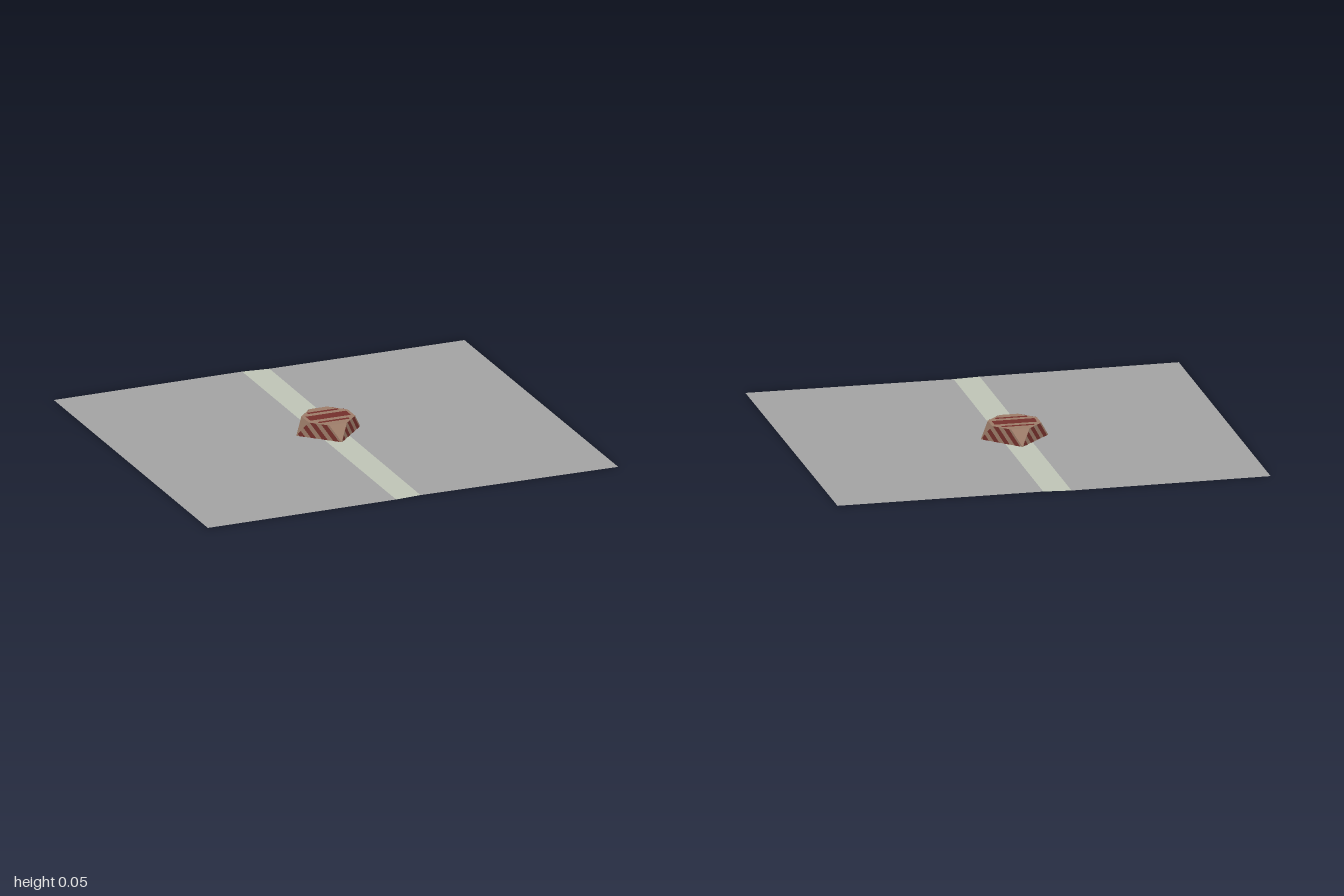
import * as THREE from 'three';

const H = 0.054;      // block height
const R = 0.0825;     // half width of the block
const C = 0.045;      // corner cut at the top
const LIFT = 0.0008;  // paint offset

const paint = (color) => new THREE.MeshStandardMaterial({ color, side: THREE.DoubleSide, flatShading: true });

// Flat convex polygons, each a loop of [x, y, z] corners seen counter-clockwise from outside
function polygons(name, loops, material) {
  const pos = [];
  for (const p of loops)
    for (let i = 1; i < p.length - 1; i++) pos.push(...p[0], ...p[i], ...p[i + 1]);
  const geo = new THREE.BufferGeometry();
  geo.setAttribute('position', new THREE.Float32BufferAttribute(pos, 3));
  geo.computeVertexNormals();
  const mesh = new THREE.Mesh(geo, material);
  mesh.name = name;
  return mesh;
}

// Ground sheet from [x, z] corners
const sheet = (name, corners, material) =>
  polygons(name, [corners.map(([x, z]) => [x, 0, z])], material);

// Turn a point by quarter turns about y
function turn([x, y, z], k) {
  for (let i = 0; i < k; i++) [x, z] = [z, -x];
  return [x, y, z];
}

export function createModel() {
  const model = new THREE.Group();
  const grey = paint(0xa3a3a3), pale = paint(0xbec4b6);
  const tan = paint(0x9c7c69), red = paint(0x74302b);

  // Ground: two panels with a pale strip between them
  const a = [-0.44, -0.5], b = [0.485, 0.43], c = [0.425, 0.5], d = [-0.515, -0.44];
  model.add(
    sheet('rightPanel', [a, b, [1, -0.07], [0.065, -1]], grey),
    sheet('leftPanel', [d, [-1, 0.05], [-0.06, 0.99], c], grey),
    sheet('middleStrip', [a, d, c, b], pale)
  );

  // Block: square foot rising to an eight-sided top, open below
  const block = new THREE.Group();
  block.name = 'stripedBlock';
  block.position.set(-0.033, 0, -0.022);
  model.add(block);

  const T = R - C;
  const faces = [], top = [], bars = [];
  for (let k = 0; k < 4; k++) {
    const put = (...pts) => pts.map((p) => turn(p, k));
    faces.push(put([-R, 0, R], [R, 0, R], [T, H, R], [-T, H, R]));
    faces.push(put([R, 0, R], [R, H, T], [T, H, R]));
    top.push(...put([-T, H, R], [T, H, R]));

    // Slanted bars, trimmed by the sloping left edge of the side
    const w = 0.021;
    for (let i = 0; i < 4; i++) {
      const s = -R + 0.012 + i * 0.041;
      const up = (x) => {
        const t = Math.min(1, (x + R) / (2 * C));
        return [x - C * t, H * t, R + LIFT];
      };
      bars.push(put([s, 0, R + LIFT], [s + w, 0, R + LIFT], up(s + w), up(s)));
    }
  }
  faces.push(top);
  block.add(polygons('body', faces, tan), polygons('sideStripes', bars, red));

  // Diagonal stripes on the top: a broad one and two narrow ones
  const stripe = (u0, u1, v) =>
    [[u0, -v], [u1, -v], [u1, v], [u0, v]].map(([u, s]) =>
      [(u + s) * Math.SQRT1_2, H + LIFT, (u - s) * Math.SQRT1_2]);
  block.add(polygons('topStripes', [
    stripe(-0.021, 0.021, 0.074),
    stripe(-0.054, -0.041, 0.056),
    stripe(0.041, 0.054, 0.056),
  ], red));

  return model;
}
